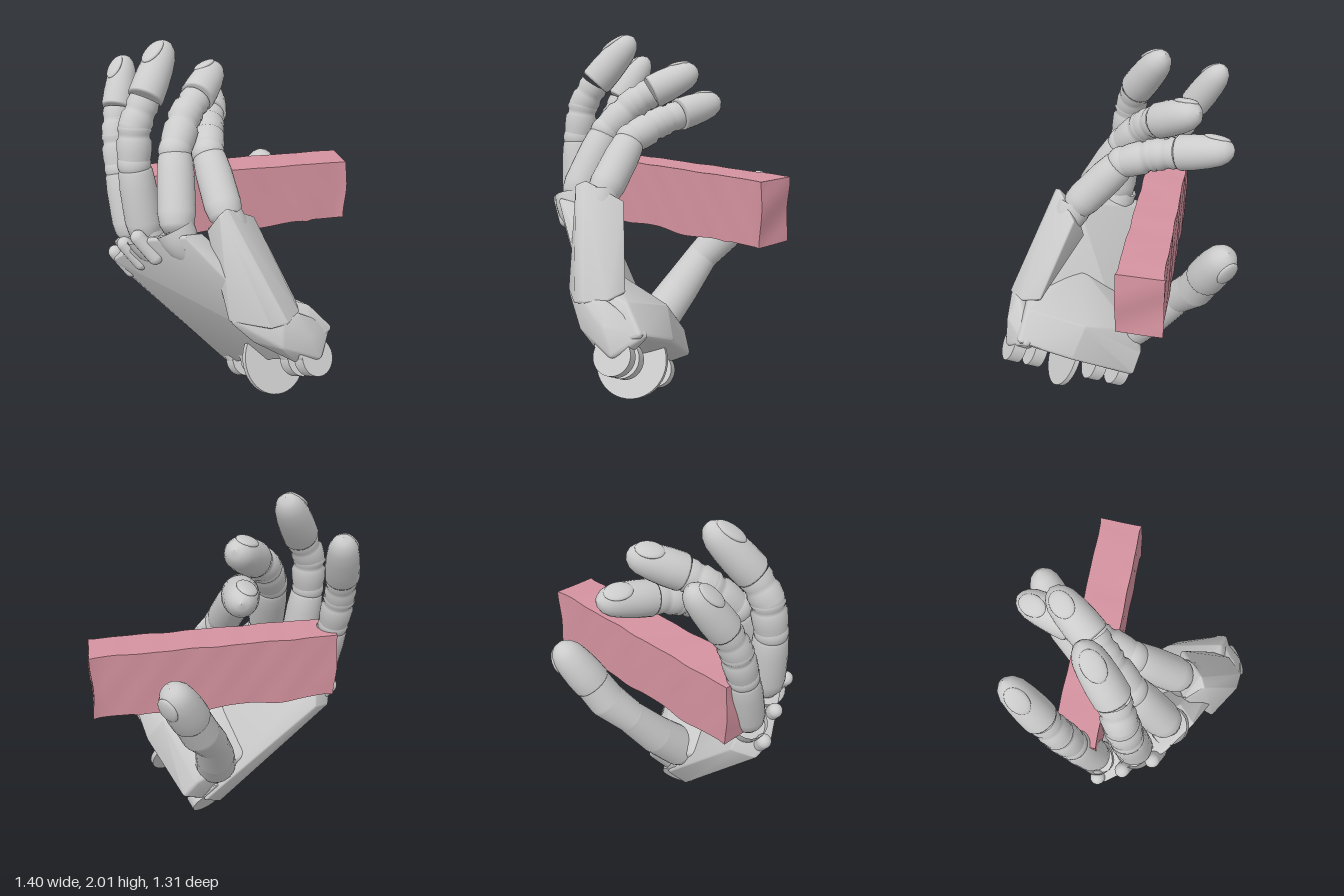
import * as THREE from 'three';
import { ConvexGeometry } from 'three/addons/geometries/ConvexGeometry.js';
import { toCreasedNormals } from 'three/addons/utils/BufferGeometryUtils.js';

const V = (x, y, z) => new THREE.Vector3(x, y, z);
const UP = V(0, 1, 0);
const grey = new THREE.MeshStandardMaterial({ color: 0xcccccc });
const greyOpen = new THREE.MeshStandardMaterial({ color: 0xcccccc, side: THREE.DoubleSide });
const pink = new THREE.MeshStandardMaterial({ color: 0xd4929f });

// Hand frame: U runs across the wrist, D towards the knuckles, N out of the back of the hand
const O = V(0.14, 0.28, 0.3);
const U = V(0.34, 0.47, 0.81).normalize();
const N = U.clone().cross(V(-0.58, 0.78, -0.21)).normalize();
const D = N.clone().cross(U);
const H = (u, d, n) => O.clone().addScaledVector(U, u).addScaledVector(D, d).addScaledVector(N, n);

function add(parent, name, geometry, material = grey) {
  const mesh = new THREE.Mesh(geometry, material);
  mesh.name = name;
  parent.add(mesh);
  return mesh;
}

// Solid of revolution from a to b; profile holds [fraction along, radius]
function turned(parent, name, a, b, profile, material = grey) {
  const axis = b.clone().sub(a), len = axis.length();
  const points = profile.map(([t, r]) => new THREE.Vector2(r, t * len));
  const mesh = add(parent, name, new THREE.LatheGeometry(points, 24), material);
  mesh.position.copy(a);
  mesh.quaternion.setFromUnitVectors(UP, axis.normalize());
}

function disc(parent, name, center, axis, radius, thickness) {
  const mesh = add(parent, name, new THREE.CylinderGeometry(radius, radius, thickness, 40));
  mesh.position.copy(center);
  mesh.quaternion.setFromUnitVectors(UP, axis);
}

function ball(parent, name, center, radius) {
  add(parent, name, new THREE.SphereGeometry(radius, 24, 16)).position.copy(center);
}

// Convex block through the given corners, with its edges rounded by a radius
function hull(parent, name, corners, radius) {
  const ico = new THREE.IcosahedronGeometry(radius, 1).attributes.position;
  const points = corners.flatMap((c) =>
    Array.from({ length: ico.count }, (_, i) => V(0, 0, 0).fromBufferAttribute(ico, i).add(c)));
  add(parent, name, toCreasedNormals(new ConvexGeometry(points), 0.6));
}

// Fingertip cap with a thin rim, a rounded end and a nail
function fingertip(parent, a, b, r, dorsal) {
  turned(parent, 'fingertip', a, b, [
    [0, 0], [0, r * 0.98], [0.04, r * 1.05], [0.3, r * 1.04], [0.55, r * 0.97],
    [0.75, r * 0.86], [0.88, r * 0.66], [0.96, r * 0.38], [1, 0],
  ]);
  const dir = b.clone().sub(a).normalize();
  const out = dorsal.clone().addScaledVector(dir, -dorsal.dot(dir)).normalize();
  const side = dir.clone().cross(out);
  const nail = add(parent, 'nail', new THREE.SphereGeometry(1, 20, 12));
  nail.quaternion.setFromRotationMatrix(new THREE.Matrix4().makeBasis(side, dir, out));
  nail.rotateX(-0.28);
  nail.scale.set(r * 0.6, a.distanceTo(b) * 0.24, r * 0.2);
  nail.position.copy(a).lerp(b, 0.7).addScaledVector(out, r * 0.74);
}

function finger(parent, name, r, coords) {
  const g = new THREE.Group();
  g.name = name;
  parent.add(g);
  const p = coords.map((c) => V(...c));
  turned(g, 'proximalSegment', p[0], p[1], [
    [0, 0], [0, r * 0.7], [0.1, r * 0.98], [0.25, r * 1.1], [0.7, r * 1.08], [0.9, r], [1, r * 0.85], [1, 0],
  ]);
  ball(g, 'middleJoint', p[1], r * 0.98);
  turned(g, 'middleSegment', p[1], p[2], [
    [0, r * 0.9], [0.3, r], [0.62, r * 1.02], [0.72, r * 0.9], [0.82, r * 0.9], [0.92, r], [1, r * 0.95],
  ]);
  ball(g, 'outerJoint', p[2], r * 0.94);
  turned(g, 'outerSegment', p[2], p[3], [
    [0, r * 0.94], [0.3, r * 0.98], [0.45, r * 0.88], [0.6, r * 0.88], [0.75, r * 0.95], [1, r * 0.9],
  ]);
  const dirIn = p[1].clone().sub(p[0]).normalize();
  const dirOut = p[4].clone().sub(p[3]).normalize();
  fingertip(g, p[3], p[4], r, dirIn.sub(dirOut));
  return p;
}

export function createModel() {
  const model = new THREE.Group();
  model.name = 'mechanicalHandHoldingBar';

  // Fingers, each from base to tip, with the shallow open sockets they sit in
  const fingers = {
    indexFinger: [0.09, [[-0.12, 1.13, 0.28], [-0.16, 1.43, 0.0], [-0.12, 1.51, -0.18], [-0.08, 1.55, -0.31], [-0.01, 1.62, -0.6]]],
    middleFinger: [0.092, [[-0.38, 1.08, 0.24], [-0.34, 1.46, 0.02], [-0.26, 1.61, -0.11], [-0.18, 1.68, -0.19], [-0.02, 1.81, -0.41]]],
    ringFinger: [0.09, [[-0.52, 1.0, 0.08], [-0.56, 1.41, 0.04], [-0.545, 1.6, 0.01], [-0.48, 1.73, -0.03], [-0.33, 1.99, -0.2]]],
    littleFinger: [0.083, [[-0.58, 0.92, -0.12], [-0.615, 1.3, -0.23], [-0.615, 1.48, -0.29], [-0.595, 1.61, -0.35], [-0.52, 1.87, -0.51]]],
  };
  for (const [name, [r, coords]] of Object.entries(fingers)) {
    const p = finger(model, name, r, coords);
    const dir = p[1].clone().sub(p[0]).normalize().addScaledVector(D, 2).normalize();
    const from = p[0].clone().addScaledVector(dir, -0.13);
    const to = p[0].clone().addScaledVector(dir, 0.03);
    turned(model, name + 'Socket', from, to, [[0, r * 0.6], [0.3, r * 0.92], [0.7, r * 1.1], [1, r * 1.13]], greyOpen);
  }

  // Thumb
  const thumb = new THREE.Group();
  thumb.name = 'thumb';
  model.add(thumb);
  const t = [[-0.01, 0.39, -0.07], [0.025, 0.54, -0.21], [0.08, 0.73, -0.355], [0.16, 0.86, -0.45], [0.21, 0.97, -0.495], [0.335, 1.225, -0.61]]
    .map((c) => V(...c));
  const thumbRadii = [0.12, 0.11, 0.092, 0.104, 0.1];
  for (let i = 0; i < 5; i++) ball(thumb, 'thumbJoint', t[i], thumbRadii[i]);
  for (let i = 0; i < 4; i++) {
    turned(thumb, 'thumbSegment', t[i], t[i + 1], [[0, thumbRadii[i]], [1, thumbRadii[i + 1]]]);
  }
  fingertip(thumb, t[4], t[5], 0.1, V(0.75, -0.2, -0.6));

  // Palm plate, tapering from the wrist to the knuckles
  hull(model, 'palm', [
    H(-0.42, 0.03, 0.03), H(0.34, 0.05, 0.03), H(-0.4, 0.03, -0.08), H(0.34, 0.05, -0.1),
    H(-0.4, 0.92, 0.15), H(-0.32, 0.98, 0.18), H(0.08, 1.0, 0.13), H(0.26, 0.92, 0.06), H(0.28, 0.5, 0.04),
    H(-0.41, 0.91, 0.03), H(-0.3, 1.0, 0.03), H(-0.08, 0.95, 0.01), H(0.22, 0.86, -0.03),
  ], 0.015);

  // Thumb base on the palm side, sweeping round to the outer edge of the wrist
  hull(model, 'thumbBase', [
    H(0.36, 0.04, -0.18), H(0.36, 0.2, -0.16), H(0.07, 0.03, -0.25), H(0.06, 0.2, -0.27), H(-0.34, 0.02, -0.22),
    H(-0.34, 0.14, -0.23), H(-0.26, 0.24, -0.21), H(-0.38, 0.03, -0.05), H(-0.34, 0.42, 0.0), H(0.08, 0.5, -0.03),
    H(0.34, 0.06, 0.0), H(0.32, 0.35, 0.0),
  ], 0.025);

  // Raised tongues on the back of the palm by the outer knuckles
  for (const [u, d] of [[-0.34, 0.94], [-0.17, 0.97], [0.02, 0.98]]) {
    const tongue = add(model, 'backTongue', new THREE.CapsuleGeometry(0.04, 0.14, 6, 16));
    tongue.position.copy(H(u, d, 0.15));
    tongue.quaternion.setFromUnitVectors(UP, D);
  }

  // Housing that carries the index finger, and the rounded knuckle below it
  hull(model, 'indexHousing', [
    V(-0.18, 1.21, 0.38), V(-0.14, 1.23, 0.36), V(0.02, 1.13, 0.25), V(0.2, 0.72, 0.42), V(0.19, 0.7, 0.52),
    V(0.11, 0.69, 0.6), V(0.03, 0.67, 0.59), V(-0.15, 0.67, 0.47), V(-0.22, 1.1, 0.3), V(-0.06, 1.0, 0.22),
  ], 0.012);
  hull(model, 'indexKnuckle', [
    V(-0.12, 0.66, 0.47), V(0.1, 0.68, 0.58), V(0.18, 0.67, 0.54), V(0.23, 0.58, 0.58),
    V(0.1, 0.55, 0.59), V(-0.02, 0.56, 0.5), V(0.37, 0.54, 0.46), V(0.32, 0.48, 0.47), V(0.29, 0.46, 0.58),
    V(0.2, 0.43, 0.55),
  ], 0.03);

  // Wrist hinge: centre wheel with pairs of tabs on either side
  disc(model, 'wristWheel', O, U, 0.2, 0.03);
  for (const u of [-0.36, -0.2, 0.2, 0.33]) {
    disc(model, 'wristTab', H(u, -0.02, -0.02), U, 0.1, 0.075);
    hull(model, 'wristTabArm', [-0.027, 0.027].flatMap((w) => [
      H(u + w, -0.02, 0.06), H(u + w, -0.02, -0.1), H(u + w, 0.14, 0.03), H(u + w, 0.14, -0.1),
    ]), 0.01);
  }

  // Gripped bar with a faintly uneven surface and a sagging underside
  const barGeometry = new THREE.BoxGeometry(1.29, 0.345, 0.225, 40, 10, 8);
  const pos = barGeometry.attributes.position;
  for (let i = 0; i < pos.count; i++) {
    const x = pos.getX(i), y = pos.getY(i), z = pos.getZ(i);
    const ripple = 0.0015 * Math.sin(17 * x + 9 * z) + 0.001 * Math.sin(31 * x + 23 * y);
    const sag = y < -0.17 && x < 0.42 ? 0.014 + 0.01 * Math.sin(14 * x) : 0;
    const flare = x > 0.63 ? 1.06 : 1;
    pos.setXYZ(i, x + (Math.abs(x) > 0.6 ? 0.006 * Math.sin(19 * y + 11 * z) : 0), y + ripple - sag, z * flare + ripple);
  }
  barGeometry.computeVertexNormals();
  const bar = add(model, 'bar', barGeometry, pink);
  bar.position.set(0.035, 1.108, -0.215);
  bar.rotation.y = -0.012;

  return model;
}
